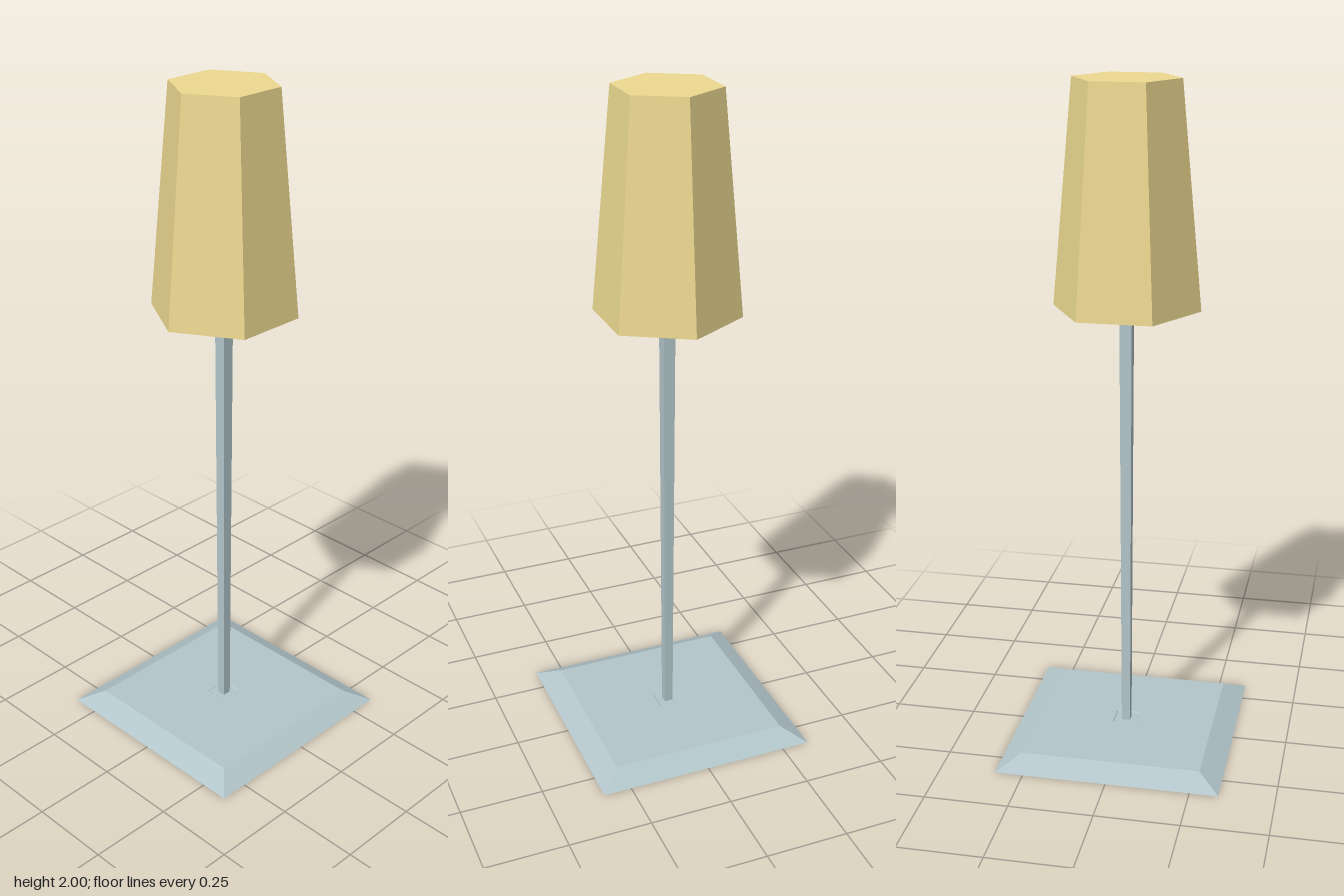
import * as THREE from 'three';

const gold = new THREE.MeshStandardMaterial({ color: 0xecd990, flatShading: true });
const steel = new THREE.MeshStandardMaterial({ color: 0xb2c5ca, flatShading: true });

// Faceted solid from a [radius, y] profile, listed from the underside upwards
function faceted(name, profile, sides, phase, scale, material) {
  const points = profile.map(([r, y]) => new THREE.Vector2(r * scale, y));
  const mesh = new THREE.Mesh(new THREE.LatheGeometry(points, sides, phase), material);
  mesh.name = name;
  return mesh;
}

// Square sections are given by half width, hexagons by corner radius
const square = (name, profile) => faceted(name, profile, 4, Math.PI / 4, Math.SQRT2, steel);
const hexagon = (name, profile) => faceted(name, profile, 6, 0, 1, gold);

export function createModel() {
  const lamp = new THREE.Group();
  lamp.name = 'floorLamp';

  // Bevelled plate with a shallow hollow below and a socket for the post
  lamp.add(square('base', [
    [0, 0.008], [0.27, 0.008], [0.335, 0], [0.27, 0.036],
    [0.037, 0.036], [0.034, 0.033], [0, 0.033],
  ]));

  // Post, slightly wider at the top
  lamp.add(square('post', [[0, 0.03], [0.013, 0.03], [0.018, 1.345], [0, 1.345]]));

  // Tapered shade with a hollow opening underneath
  lamp.add(hexagon('shade', [
    [0, 1.75], [0.11, 1.75], [0.11, 1.355], [0.215, 1.355], [0.155, 2], [0, 2],
  ]));

  return lamp;
}
